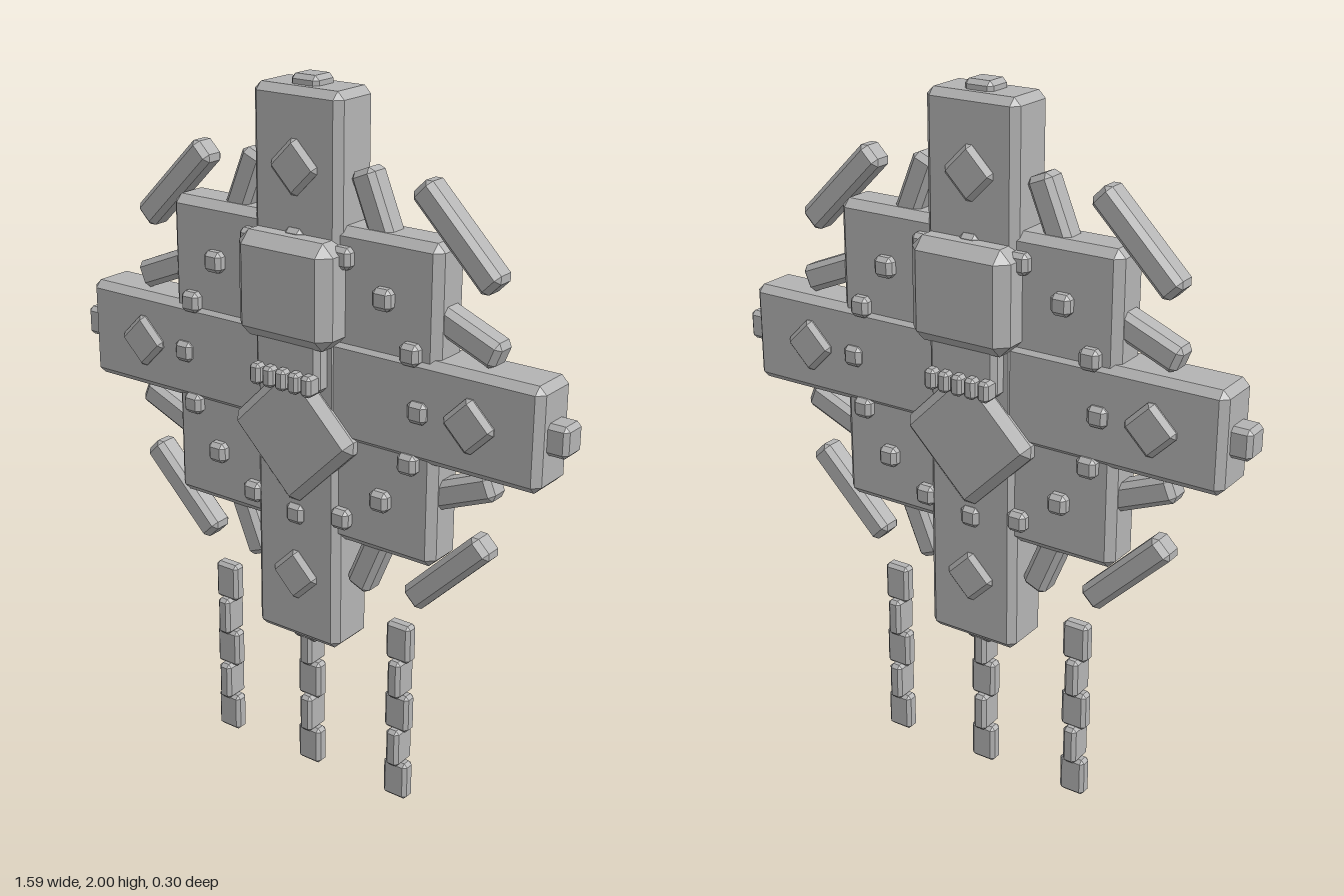
import * as THREE from 'three';
import { ConvexGeometry } from 'three/addons/geometries/ConvexGeometry.js';

const stone = new THREE.MeshStandardMaterial({ color: 0xb4b4b4 });
stone.name = 'grey stone';

const MID = 1.205; // height of the emblem's centre

// Box with every edge and corner cut by a flat chamfer c
function chamferBox(w, h, d, c) {
  const half = [w / 2, h / 2, d / 2];
  const points = [];
  for (const sx of [-1, 1]) for (const sy of [-1, 1]) for (const sz of [-1, 1]) {
    for (let axis = 0; axis < 3; axis++) {
      const p = [sx, sy, sz].map((s, i) => s * (half[i] - (i === axis ? 0 : c)));
      points.push(new THREE.Vector3(...p));
    }
  }
  return new ConvexGeometry(points);
}

export function createModel() {
  const model = new THREE.Group();
  model.name = 'emblem';

  function add(name, size, c, pos, angle = 0, parent = model) {
    const mesh = new THREE.Mesh(chamferBox(...size, c), stone);
    mesh.name = name;
    mesh.position.set(...pos);
    mesh.rotation.z = angle;
    parent.add(mesh);
    return mesh;
  }

  // Cross and square plate
  add('squarePlate', [0.87, 0.87, 0.124], 0.022, [0, MID, 0]);
  add('verticalBar', [0.28, 1.54, 0.152], 0.02, [0, MID, 0]);
  add('horizontalBar', [1.48, 0.28, 0.146], 0.02, [0, MID, 0]);

  // Caps at the four ends of the cross
  for (const s of [-1, 1]) {
    add('sideCap', [0.12, 0.084, 0.078], 0.012, [s * 0.735, MID, 0]);
    add('endCap', [0.086, 0.1, 0.082], 0.012, [0, MID + s * 0.745, 0]);
  }

  // Skull block, jaw and teeth, the same on front and back
  add('skull', [0.304, 0.285, 0.296], 0.033, [0, 1.463, 0]);
  add('jaw', [0.21, 0.15, 0.236], 0.014, [0, 1.27, 0]);
  for (const z of [-1, 1]) {
    for (let i = -2; i <= 2; i++) {
      add('tooth', [0.035, 0.058, 0.05], 0.009, [i * 0.042, 1.224, z * 0.123]);
    }
  }

  // Large central diamond and the four small ones on the arms
  add('centreDiamond', [0.3, 0.3, 0.21], 0.025, [0, 1.058, 0], Math.PI / 4);
  for (const [x, y] of [[0.54, 0], [-0.54, 0], [0, 0.57], [0, -0.57]]) {
    add('armDiamond', [0.115, 0.115, 0.18], 0.013, [x, MID + y, 0], Math.PI / 4);
  }

  // Studs that stand out on both faces
  const studs = [[0.275, 0.275], [0.36, 0.148], [0.15, 0.36]];
  for (const sx of [-1, 1]) {
    for (const sy of [-1, 1]) {
      for (const [x, y] of studs) {
        add('stud', [0.058, 0.058, 0.18], 0.012, [sx * x, MID + sy * y, 0]);
      }
    }
    add('stud', [0.058, 0.058, 0.18], 0.012, [sx * 0.388, MID, 0]);
    add('stud', [0.058, 0.058, 0.18], 0.012, [0, MID + sx * 0.385, 0]);
  }

  // Outer slabs and half-hidden slanted slabs in each quarter
  const slabs = [
    ['outerSlab', 0.455, 0.452, -45],
    ['upperRaySlab', 0.23, 0.433, -67.5],
    ['sideRaySlab', 0.44, 0.23, -22.5],
  ];
  for (const sx of [-1, 1]) for (const sy of [-1, 1]) {
    for (const [name, x, y, deg] of slabs) {
      add(name, [0.315, 0.076, 0.074], 0.015, [sx * x, MID + sy * y, 0],
        sx * sy * THREE.MathUtils.degToRad(deg));
    }
  }

  // Three hanging chains of links turned by quarter turns
  for (const x of [-0.303, 0, 0.303]) {
    const chain = new THREE.Group();
    chain.name = 'chain';
    chain.position.x = x;
    model.add(chain);
    for (let i = 0; i < 5; i++) {
      const link = add('chainLink', [0.078, 0.115, 0.042], 0.01, [0, 0.0575 + i * 0.109, 0], 0, chain);
      link.rotation.y = (i % 2) * Math.PI / 2;
    }
  }

  return model;
}
